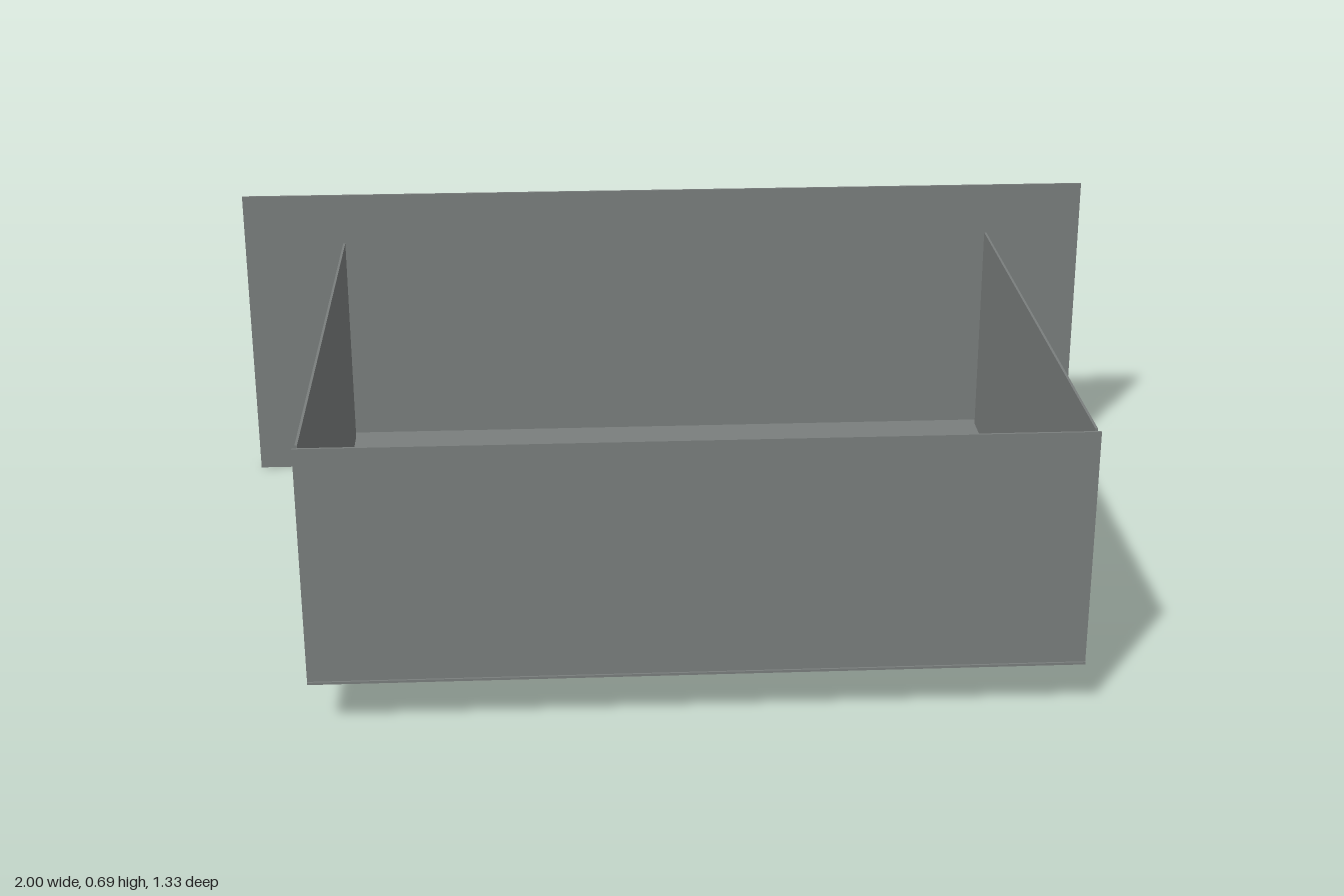
import * as THREE from 'three';

export function createModel() {
  const model = new THREE.Group();
  model.name = 'drawer';

  const board = new THREE.MeshStandardMaterial({ color: 0x7a7e7d });
  board.name = 'greyBoard';
  const dark = new THREE.MeshStandardMaterial({ color: 0x2e2e2e });
  dark.name = 'darkMetal';

  // Box given by its [min, max] extent on each axis
  function panel(name, material, x, y, z) {
    const size = [x, y, z].map(([a, b]) => b - a);
    const mesh = new THREE.Mesh(new THREE.BoxGeometry(...size), material);
    mesh.position.set((x[0] + x[1]) / 2, (y[0] + y[1]) / 2, (z[0] + z[1]) / 2);
    mesh.name = name;
    model.add(mesh);
  }

  // Tray: base, end wall and two side walls, open towards the facing panel
  panel('base', board, [-0.766, 0.766], [0.103, 0.108], [-0.605, 0.667]);
  panel('endWall', board, [-0.766, 0.766], [0.108, 0.6], [0.658, 0.663]);
  panel('leftWall', board, [0.757, 0.762], [0.108, 0.6], [-0.579, 0.645]);
  panel('rightWall', board, [-0.762, -0.757], [0.108, 0.6], [-0.579, 0.645]);

  // Wide facing panel standing clear of the tray
  panel('facingPanel', board, [-1, 1], [0, 0.695], [-0.659, -0.654]);

  // Long pull bar near the top edge of the facing panel
  panel('pullBar', dark, [-0.88, 0.88], [0.63, 0.676], [-0.667, -0.661]);

  return model;
}
